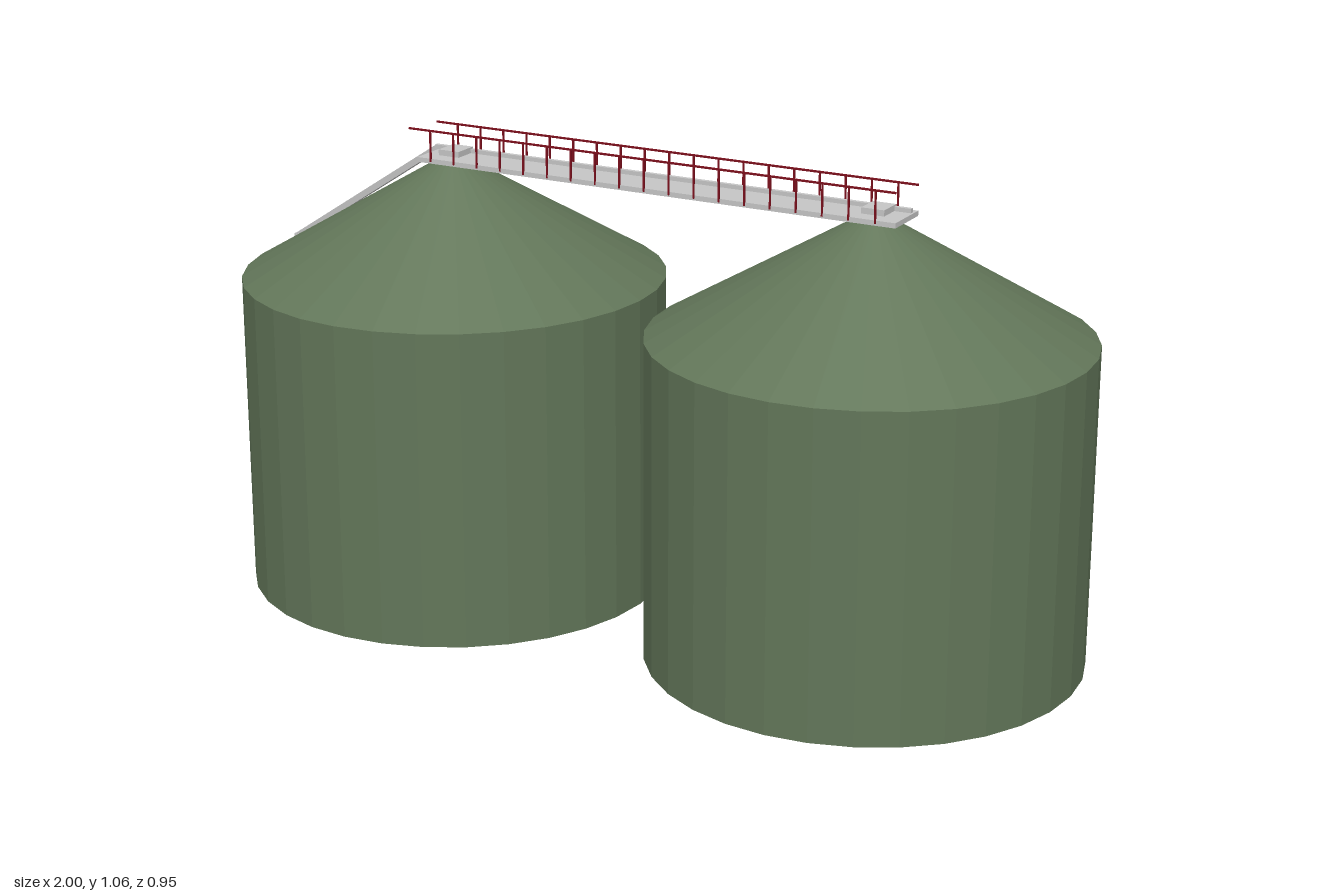
import * as THREE from 'three';

export function createModel() {
  const model = new THREE.Group();
  const mat = (name, color, flat = false) => {
    const m = new THREE.MeshStandardMaterial({ color, flatShading: flat });
    m.name = name;
    return m;
  };
  const green = mat('silo green', 0x627659, true);
  const steel = mat('galvanised steel', 0xc6c6c6);
  const red = mat('railing red', 0x7d0f1c);

  const add = (name, geometry, material, parent, x = 0, y = 0, z = 0) => {
    const mesh = new THREE.Mesh(geometry, material);
    mesh.name = name;
    mesh.position.set(x, y, z);
    parent.add(mesh);
    return mesh;
  };
  const box = (name, x0, x1, y0, y1, z0, z1, material, parent) =>
    add(name, new THREE.BoxGeometry(x1 - x0, y1 - y0, z1 - z0), material, parent,
      (x0 + x1) / 2, (y0 + y1) / 2, (z0 + z1) / 2);

  // Square pipe running between two points
  const pipe = (name, a, b, size, parent) => {
    const from = new THREE.Vector3(...a), to = new THREE.Vector3(...b);
    const mesh = add(name, new THREE.BoxGeometry(size, size, from.distanceTo(to)), steel, parent);
    mesh.position.copy(from).lerp(to, 0.5);
    mesh.lookAt(to);
  };

  // Two silos: closed wall with a truncated conical roof
  for (const x of [-0.505, 0.52]) {
    const silo = new THREE.Group();
    silo.name = 'silo';
    silo.position.x = x;
    add('wall', new THREE.CylinderGeometry(0.475, 0.475, 0.71, 32), green, silo, 0, 0.37, 0);
    add('roof', new THREE.CylinderGeometry(0.04, 0.475, 0.255, 32), green, silo, 0, 0.8525, 0);
    model.add(silo);
  }

  // Walkway bridging both roofs
  const walkway = new THREE.Group();
  walkway.name = 'walkway';
  model.add(walkway);
  box('deck', -0.565, 0.59, 0.981, 0.992, -0.064, 0.05, steel, walkway);

  // Railings on both sides, with evenly spaced posts
  for (const [z, top] of [[0.05, 1.057], [-0.062, 1.049]]) {
    const railing = new THREE.Group();
    railing.name = 'railing';
    box('handrail', -0.585, 0.59, top - 0.004, top, z - 0.002, z + 0.002, red, railing);
    for (let i = 0; i < 19; i++) {
      const x = -0.53 + i * 0.0597;
      box('post', x - 0.0018, x + 0.0018, 0.985, top - 0.003, z - 0.0018, z + 0.0018, red, railing);
    }
    walkway.add(railing);
  }

  // Filling line: riser, slope along the roof, run over the deck and a spout per silo
  const line = new THREE.Group();
  line.name = 'fillingLine';
  model.add(line);
  box('riser', -1, -0.984, 0, 0.73, -0.09, -0.074, steel, line);
  pipe('slopingPipe', [-0.992, 0.725, -0.082], [-0.57, 0.994, -0.044], 0.014, line);
  box('deckPipe', -0.575, 0.585, 0.99, 1.001, -0.047, -0.037, steel, line);
  for (const x of [-0.507, 0.522]) {
    box('spout', x - 0.026, x + 0.026, 0.99, 1.005, -0.046, 0.013, steel, line);
  }
  return model;
}
